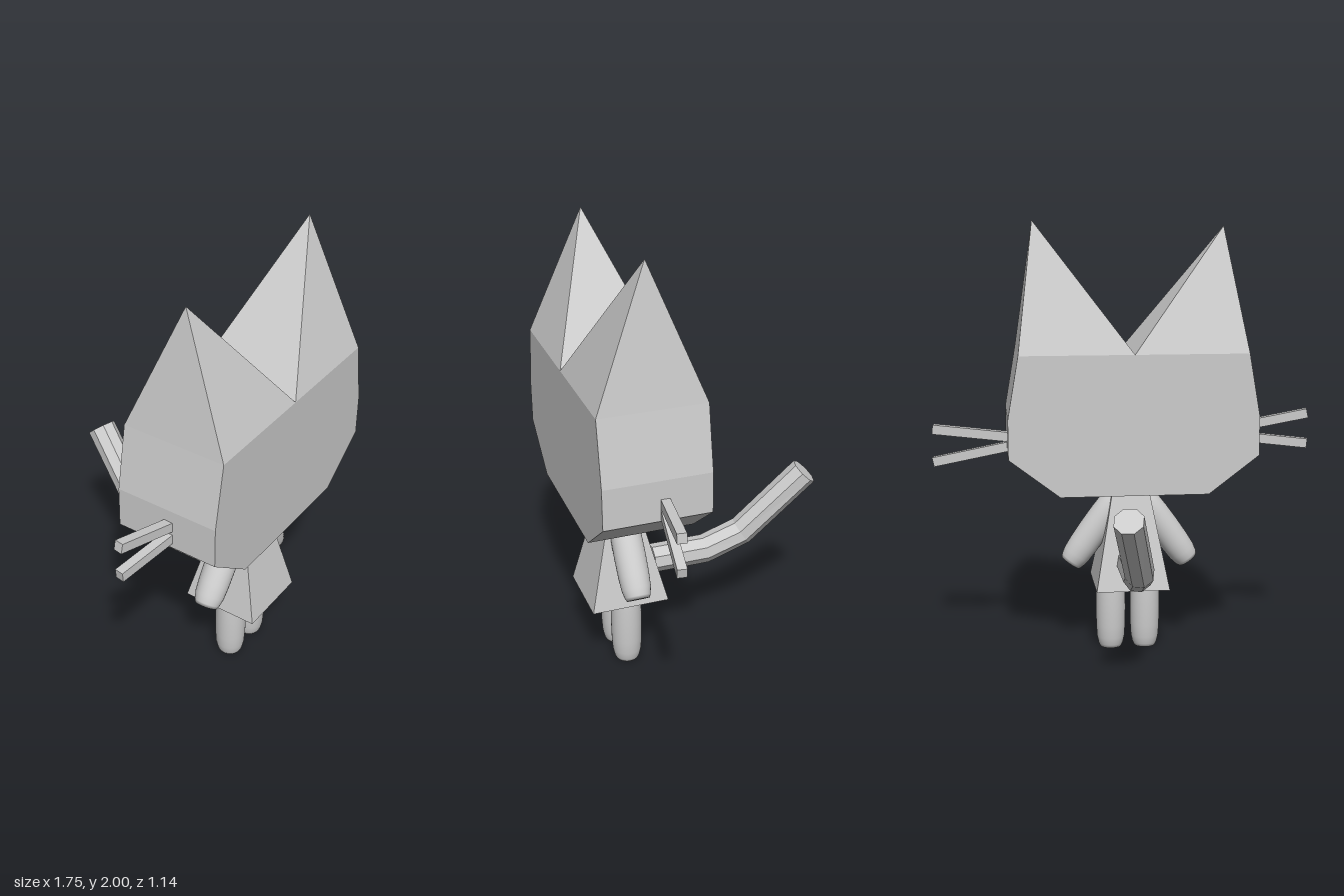
import * as THREE from 'three';
import { ConvexGeometry } from 'three/addons/geometries/ConvexGeometry.js';

const CX = -0.036, CZ = 0.333; // axis of head, body and limbs
const V = (x, y, z) => new THREE.Vector3(x, y, z);
const flat = new THREE.MeshStandardMaterial({ color: 0xcccccc, flatShading: true });
const smooth = new THREE.MeshStandardMaterial({ color: 0xcccccc });

function add(parent, name, geometry, material = flat) {
  const mesh = new THREE.Mesh(geometry, material);
  mesh.name = name;
  parent.add(mesh);
  return mesh;
}

// Rounded, slightly barrel-shaped limb with its flat end at the origin
function limbGeometry(length, r) {
  const half = [[0, 0], [0.72, 0], [0.82, 0.04], [0.93, 0.13], [0.98, 0.28], [1, 0.5]];
  const points = half.map(([a, t]) => new THREE.Vector2(a * r, t * length));
  half.slice(0, -1).reverse().forEach(([a, t]) =>
    points.push(new THREE.Vector2(a * r, (1 - t) * length)));
  return new THREE.LatheGeometry(points, 32);
}

// Faceted rod following a few points, closed at both ends
function rodGeometry(path, r, sides) {
  const pos = [], index = [];
  path.forEach((p, i) => {
    const t = V(0, 0, 0);
    if (i > 0) t.add(p.clone().sub(path[i - 1]).normalize());
    if (i < path.length - 1) t.add(path[i + 1].clone().sub(p).normalize());
    t.normalize();
    const u = V(1, 0, 0).addScaledVector(t, -t.x).normalize();
    const v = t.clone().cross(u);
    for (let s = 0; s < sides; s++) {
      const a = ((s + 0.3) / sides) * Math.PI * 2;
      const q = p.clone().addScaledVector(u, r * Math.cos(a)).addScaledVector(v, r * Math.sin(a));
      pos.push(q.x, q.y, q.z);
    }
  });
  for (let i = 0; i < path.length - 1; i++) {
    for (let s = 0; s < sides; s++) {
      const a = i * sides + s, b = i * sides + (s + 1) % sides;
      index.push(a, b, b + sides, a, b + sides, a + sides);
    }
  }
  const last = (path.length - 1) * sides;
  for (let s = 1; s < sides - 1; s++) {
    index.push(0, s + 1, s, last, last + s, last + s + 1);
  }
  const g = new THREE.BufferGeometry();
  g.setAttribute('position', new THREE.Float32BufferAttribute(pos, 3));
  g.setIndex(index);
  g.computeVertexNormals();
  return g;
}

export function createModel() {
  const model = new THREE.Group();
  model.name = 'catFigure';

  // Head: extruded face outline
  const zBack = 0.1, zFront = 0.565;
  const right = [[0.337, 0.775], [0.567, 0.95], [0.567, 1.13], [0.518, 1.413]];
  const outline = [...right.map(([x, y]) => [CX + x, y]),
    ...[...right].reverse().map(([x, y]) => [CX - x, y])];
  const headGeo = new THREE.ExtrudeGeometry(
    new THREE.Shape(outline.map(([x, y]) => new THREE.Vector2(x, y))),
    { depth: zFront - zBack, bevelEnabled: false });
  add(model, 'head', headGeo).position.z = zBack;

  // Ears: pyramids meeting in the middle of the head
  for (const [name, side, tip] of [['leftEar', 1, V(0.405, 2, CZ)], ['rightEar', -1, V(-0.47, 1.975, CZ)]]) {
    const corners = [tip];
    for (const x of [CX, CX + side * 0.518]) {
      for (const z of [zBack, zFront]) corners.push(V(x, 1.413, z));
    }
    add(model, name, new ConvexGeometry(corners));
  }

  // Whiskers: square rods from the cheeks
  const whiskers = [
    ['leftUpperWhisker', V(0.45, 1.018, 0.29), V(0.867, 1.057, 0.355)],
    ['leftLowerWhisker', V(0.45, 0.997, 0.29), V(0.867, 0.905, 0.355)],
    ['rightUpperWhisker', V(-0.52, 1.037, 0.355), V(-0.872, 1.11, 0.303)],
    ['rightLowerWhisker', V(-0.52, 1.002, 0.355), V(-0.872, 0.967, 0.303)],
  ];
  for (const [name, from, to] of whiskers) {
    const w = add(model, name, new THREE.BoxGeometry(0.04, 0.043, from.distanceTo(to)));
    w.position.copy(from).lerp(to, 0.5);
    w.lookAt(to);
  }

  // Body: box narrowed toward the neck
  const bodyGeo = new THREE.BoxGeometry(0.34, 0.455, 0.35);
  const p = bodyGeo.attributes.position;
  for (let i = 0; i < p.count; i++) {
    if (p.getY(i) > 0) p.setXYZ(i, p.getX(i) * 0.5, p.getY(i), p.getZ(i) * 0.37);
  }
  add(model, 'body', bodyGeo).position.set(CX, 0.5385, CZ);

  // Arms and legs
  const limb = limbGeometry(0.385, 0.07);
  for (const [label, side] of [['left', 1], ['right', -1]]) {
    const arm = add(model, label + 'Arm', limb, smooth);
    arm.position.set(CX + side * 0.278, 0.413, CZ);
    arm.rotation.z = side * THREE.MathUtils.degToRad(35);
    add(model, label + 'Leg', limb, smooth).position.set(-0.028 + side * 0.081, 0, CZ);
  }

  // Tail: bent eight-sided rod
  add(model, 'tail', rodGeometry([
    V(-0.026, 0.443, 0.183), V(-0.026, 0.443, -0.075),
    V(-0.013, 0.51, -0.25), V(0.065, 0.807, -0.523),
  ], 0.066, 8));

  return model;
}
